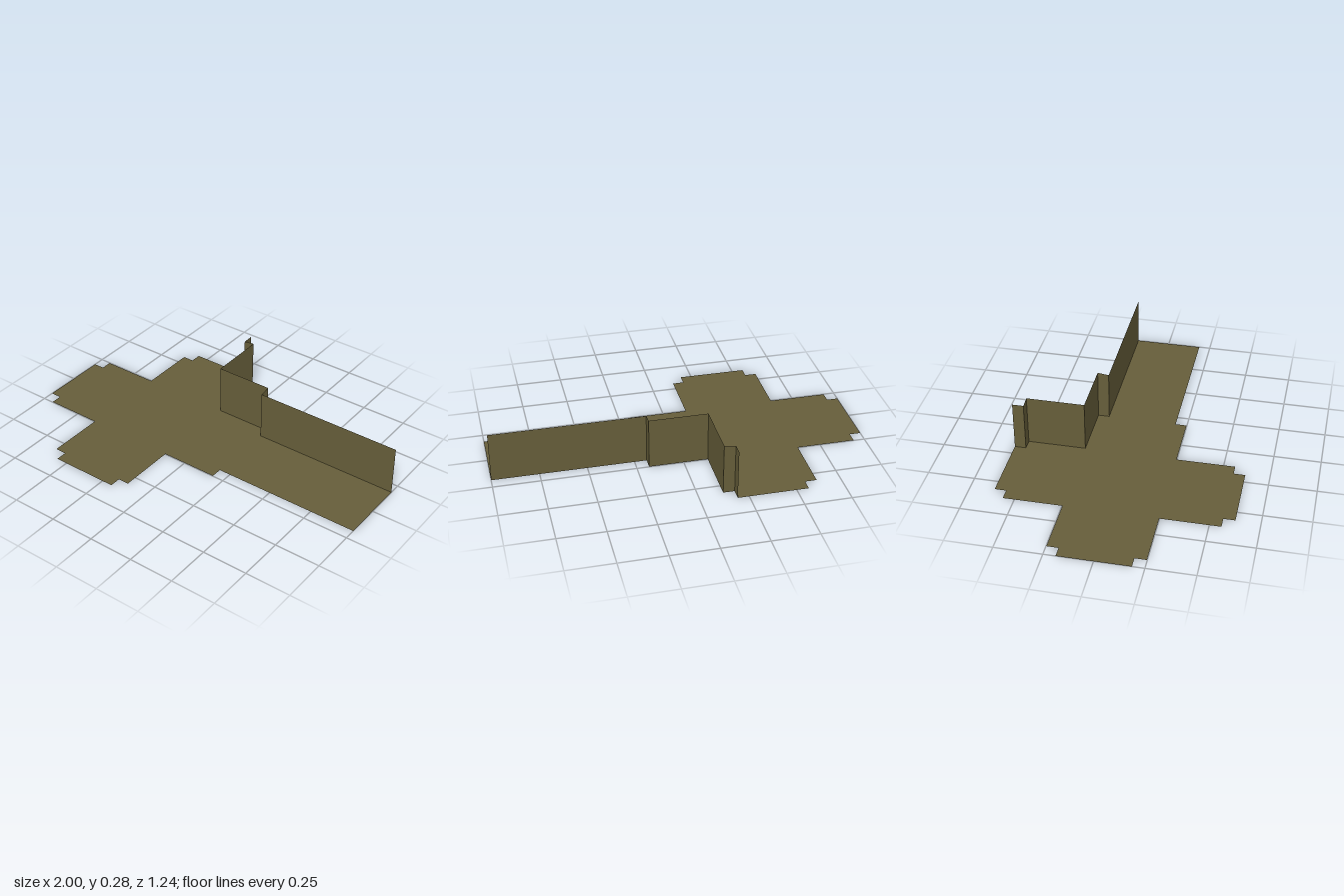
import * as THREE from 'three';

export function createModel() {
  const model = new THREE.Group();
  const olive = new THREE.MeshStandardMaterial({ color: 0x665e3a, side: THREE.DoubleSide });
  olive.name = 'olive';

  // Floor: a stepped cross; half of the outline, mirrored across z
  const half = [
    [1, 0.187], [0.185, 0.187], [0.185, 0.248], [-0.13, 0.248], [-0.13, 0.561],
    [-0.19, 0.561], [-0.19, 0.622], [-0.564, 0.622], [-0.564, 0.561],
    [-0.626, 0.561], [-0.626, 0.248], [-0.94, 0.248], [-0.94, 0.187], [-1, 0.187],
  ];
  const mirrored = half.map(([x, z]) => [x, -z]).reverse();
  const outline = [...half, ...mirrored].map(([x, z]) => new THREE.Vector2(x, z));
  const floor = new THREE.Mesh(new THREE.ShapeGeometry(new THREE.Shape(outline)), olive);
  floor.geometry.rotateX(-Math.PI / 2);
  floor.name = 'floor';
  model.add(floor);

  // Wall: upright sheet along the back left edge, a touch taller at the inner corner
  const heights = [0.273, 0.273, 0.281, 0.281, 0.281, 0.273, 0.273];
  const positions = [];
  for (let i = 0; i < heights.length - 1; i++) {
    const [ax, az] = half[i];
    const [bx, bz] = half[i + 1];
    const a = [ax, 0, -az], b = [bx, 0, -bz];
    const at = [ax, heights[i], -az], bt = [bx, heights[i + 1], -bz];
    positions.push(...a, ...at, ...b, ...b, ...at, ...bt);
  }
  const geometry = new THREE.BufferGeometry();
  geometry.setAttribute('position', new THREE.Float32BufferAttribute(positions, 3));
  geometry.computeVertexNormals();
  const wall = new THREE.Mesh(geometry, olive);
  wall.name = 'wall';
  model.add(wall);

  return model;
}
